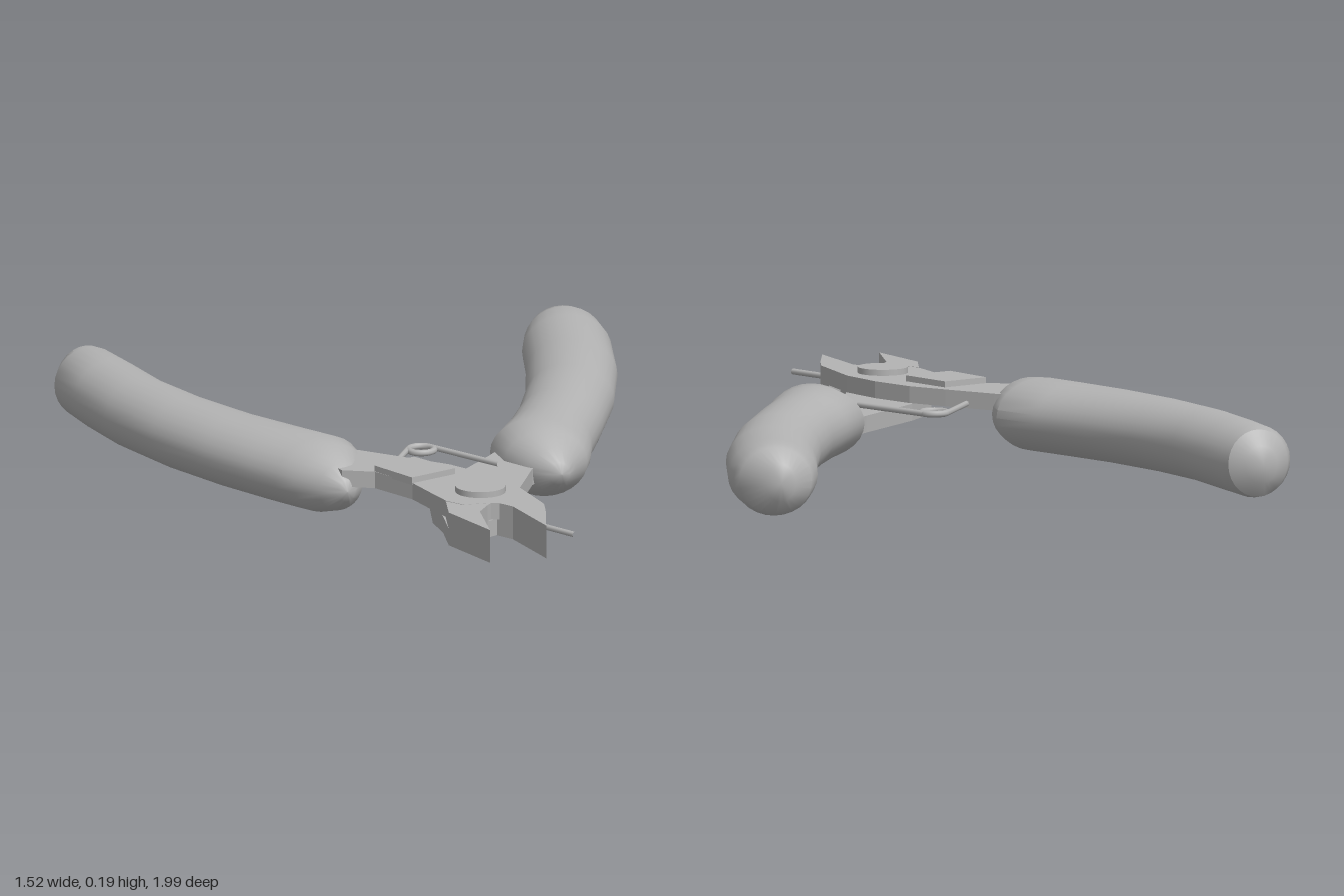
import * as THREE from 'three';
import { toCreasedNormals } from 'three/addons/utils/BufferGeometryUtils.js';

const grey = new THREE.MeshStandardMaterial({ color: 0xb4b4b4 });
grey.name = 'grey';

function add(group, name, geometry) {
  const mesh = new THREE.Mesh(geometry, grey);
  mesh.name = name;
  group.add(mesh);
  return mesh;
}

// Flat plate from an outline of [x, z] points, between heights y0 and y1
function plate(points, y0, y1) {
  const shape = new THREE.Shape(points.map(([x, z]) => new THREE.Vector2(x, -z)));
  return new THREE.ExtrudeGeometry(shape, { depth: y1 - y0, bevelEnabled: false })
    .rotateX(-Math.PI / 2).translate(0, y0, 0);
}

// Oval grip lofted from sections [x, z of the -x edge, x, z of the +x edge, half height]
function grip(sections, sides = 28) {
  const pos = [], index = [], last = sections.length - 1;
  sections.forEach(([ax, az, bx, bz, h], i) => {
    for (let j = 0; j < sides; j++) {
      const t = (j / sides) * Math.PI * 2, u = (1 + Math.cos(t)) / 2;
      pos.push(ax + (bx - ax) * u, 0.1 + h * Math.sin(t), az + (bz - az) * u);
      if (i === last) continue;
      const k = (j + 1) % sides, p = i * sides, q = p + sides;
      if (i > 0) index.push(p + j, p + k, q + j);
      if (i < last - 1) index.push(p + k, q + k, q + j);
    }
  });
  const g = new THREE.BufferGeometry();
  g.setAttribute('position', new THREE.Float32BufferAttribute(pos, 3));
  g.setIndex(index);
  return toCreasedNormals(g, 0.65);
}

function rod(points, radius) {
  const path = new THREE.CurvePath();
  for (let i = 1; i < points.length; i++) {
    path.add(new THREE.LineCurve3(new THREE.Vector3(...points[i - 1]), new THREE.Vector3(...points[i])));
  }
  const g = new THREE.TubeGeometry(path, points.length - 1, radius, 8);
  return g;
}

export function createModel() {
  const model = new THREE.Group();
  model.name = 'sideCutters';

  // Grips, from the rear end to the rounded front tip
  add(model, 'rightGrip', grip([
    [-0.67, -0.92, -0.67, -0.92, 0],
    [-0.71, -0.905, -0.62, -0.915, 0.05],
    [-0.745, -0.87, -0.58, -0.89, 0.09],
    [-0.76, -0.83, -0.565, -0.85, 0.097],
    [-0.745, -0.68, -0.535, -0.73, 0.097],
    [-0.71, -0.49, -0.5, -0.55, 0.097],
    [-0.64, -0.26, -0.43, -0.36, 0.097],
    [-0.55, -0.05, -0.34, -0.18, 0.097],
    [-0.47, 0.11, -0.24, -0.03, 0.097],
    [-0.42, 0.2, -0.16, 0.09, 0.097],
    [-0.385, 0.26, -0.165, 0.17, 0.09],
    [-0.33, 0.315, -0.2, 0.28, 0.065],
    [-0.285, 0.35, -0.235, 0.34, 0.03],
    [-0.26, 0.357, -0.26, 0.357, 0],
  ]));
  add(model, 'leftGrip', grip([
    [0.65, -1, 0.65, -1, 0],
    [0.61, -0.995, 0.69, -0.985, 0.05],
    [0.56, -0.965, 0.75, -0.93, 0.09],
    [0.545, -0.93, 0.758, -0.9, 0.097],
    [0.52, -0.85, 0.757, -0.82, 0.097],
    [0.48, -0.65, 0.71, -0.57, 0.097],
    [0.42, -0.42, 0.64, -0.33, 0.097],
    [0.34, -0.2, 0.55, -0.1, 0.097],
    [0.27, -0.05, 0.48, 0.07, 0.097],
    [0.2, 0.07, 0.45, 0.17, 0.097],
    [0.205, 0.2, 0.425, 0.23, 0.09],
    [0.25, 0.275, 0.38, 0.285, 0.06],
    [0.295, 0.32, 0.355, 0.32, 0.03],
    [0.33, 0.332, 0.33, 0.332, 0],
  ]));

  // Crossing levers
  add(model, 'upperLever', plate([
    [-0.3, 0.22], [-0.22, 0.12], [-0.17, 0.165], [-0.06, 0.27], [0.02, 0.35], [0.09, 0.46],
    [0.14, 0.58], [0.168, 0.78], [0.155, 0.85], [0.122, 0.985], [0.082, 0.785], [0.055, 0.745],
    [0.02, 0.735], [-0.04, 0.735], [-0.075, 0.69], [-0.09, 0.63], [-0.12, 0.5], [-0.19, 0.37], [-0.27, 0.335],
  ], 0.11, 0.155));
  add(model, 'lowerLever', plate([
    [0.32, 0.22], [0.21, 0.1], [0.18, 0.14], [0.015, 0.335], [-0.06, 0.45], [-0.085, 0.58],
    [-0.082, 0.68], [-0.097, 0.8], [-0.033, 0.99], [-0.015, 0.81], [0.02, 0.755], [0.05, 0.735],
    [0.11, 0.735], [0.135, 0.69], [0.137, 0.6], [0.165, 0.5], [0.26, 0.29],
  ], 0.065, 0.11));

  // Full-thickness jaws in front of the joint
  add(model, 'rightJaw', plate([
    [-0.078, 0.692], [-0.097, 0.8], [-0.033, 0.99], [-0.015, 0.81], [0.02, 0.755], [0.035, 0.737],
    [-0.042, 0.737],
  ], 0.11, 0.155));
  add(model, 'leftJaw', plate([
    [0.05, 0.737], [0.082, 0.785], [0.122, 0.985], [0.155, 0.85], [0.165, 0.78], [0.158, 0.73],
  ], 0.065, 0.11));

  // Pivot and raised stop plate
  add(model, 'pivot', new THREE.CylinderGeometry(0.067, 0.067, 0.06, 32)).position.set(0.035, 0.141, 0.62);
  add(model, 'stopPlate', plate([[-0.19, 0.365], [-0.067, 0.308], [0.01, 0.443], [-0.122, 0.502]], 0.15, 0.171));

  // Return spring: coil with two legs
  const coil = add(model, 'springCoil', new THREE.TorusGeometry(0.034, 0.009, 8, 28));
  coil.rotation.x = Math.PI / 2;
  coil.position.set(0.01, 0.122, 0.08);
  add(model, 'springLegRight', rod([[-0.022, 0.122, 0.065], [-0.11, 0.122, 0.23]], 0.008));
  add(model, 'springLegLeft', rod([[0.042, 0.122, 0.062], [0.175, 0.122, 0.265]], 0.008));

  // Wire stop beside the jaw
  add(model, 'wireStop', rod([[0.14, 0.116, 0.845], [0.207, 0.116, 0.955]], 0.008));

  return model;
}
